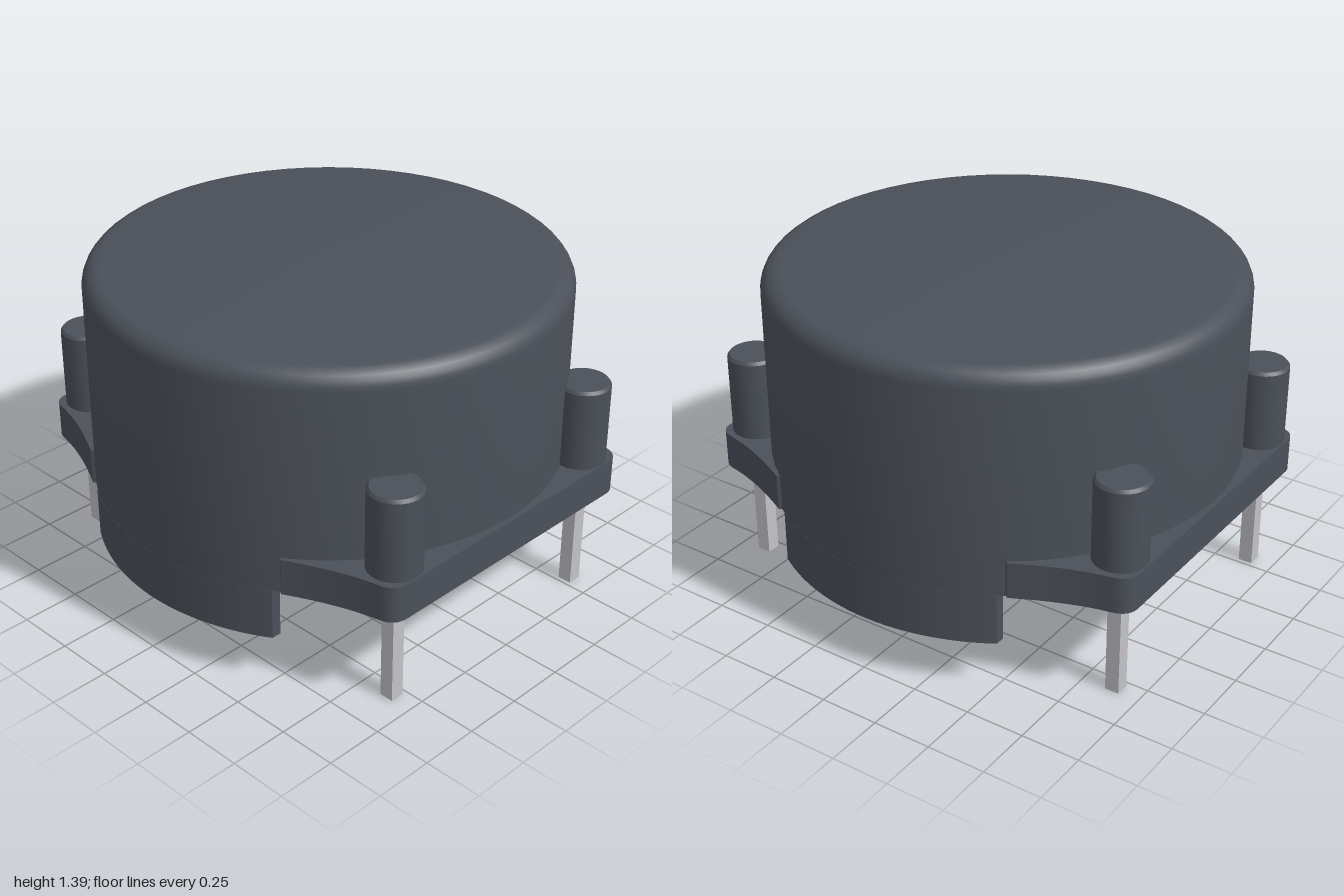
import * as THREE from 'three';
import { toCreasedNormals } from 'three/addons/utils/BufferGeometryUtils.js';

const OUTER = 0.98, INNER = 0.945;      // cup wall radii
const RIM = 0.445, TOP = 1.39;          // cup heights
const POST_X = 0.55, POST_Z = 0.885;

// Extrude a plan outline (x, z) between two heights
function slab(shape, y0, y1) {
  const g = new THREE.ExtrudeGeometry(shape, { depth: y1 - y0, bevelEnabled: false, curveSegments: 64 });
  g.rotateX(Math.PI / 2).translate(0, y1, 0);
  return toCreasedNormals(g, 0.5);
}

export function createModel() {
  const model = new THREE.Group();
  const plastic = new THREE.MeshStandardMaterial({ color: 0x4b5059 });
  plastic.name = 'dark grey plastic';
  const metal = new THREE.MeshStandardMaterial({ color: 0xc3c3c8 });
  metal.name = 'tinned metal';

  const add = (name, geometry, material) => {
    const mesh = new THREE.Mesh(geometry, material);
    mesh.name = name;
    model.add(mesh);
    return mesh;
  };

  // Hollow cup, open below, with a rounded top edge
  const fillet = 0.08;
  const profile = [[0, 1.1], [INNER, 1.1], [INNER, RIM], [OUTER, RIM]].map(p => new THREE.Vector2(...p));
  for (let i = 0; i <= 6; i++) {
    const a = (i / 6) * Math.PI / 2;
    profile.push(new THREE.Vector2(OUTER - fillet + fillet * Math.cos(a), TOP - fillet + fillet * Math.sin(a)));
  }
  profile.push(new THREE.Vector2(0, TOP));
  add('cup', toCreasedNormals(new THREE.LatheGeometry(profile, 64), 0.5), plastic);

  // Side skirts reaching below the rim, with straight cut ends
  const a = Math.asin(0.52 / OUTER), b = Math.asin(0.52 / INNER);
  for (const [name, turn] of [['leftSkirt', 0], ['rightSkirt', Math.PI]]) {
    const s = new THREE.Shape();
    s.absarc(0, 0, OUTER, turn - a, turn + a, false);
    s.absarc(0, 0, INNER, turn + b, turn - b, true);
    s.closePath();
    add(name, slab(s, 0.225, RIM), plastic);
  }

  // Base flange with four flared, rounded corners
  const f = new THREE.Shape();
  const arc = 0.59;
  f.moveTo(-0.6, 1);
  f.lineTo(0.6, 1);
  f.quadraticCurveTo(0.665, 1, 0.68, 0.93);
  f.quadraticCurveTo(0.71, 0.77, 0.82, 0.56);
  f.absarc(0, 0, 0.97, arc, -arc, true);
  f.lineTo(0.82, -0.56);
  f.quadraticCurveTo(0.71, -0.77, 0.68, -0.93);
  f.quadraticCurveTo(0.665, -1, 0.6, -1);
  f.lineTo(-0.6, -1);
  f.quadraticCurveTo(-0.665, -1, -0.68, -0.93);
  f.quadraticCurveTo(-0.71, -0.77, -0.82, -0.56);
  f.absarc(0, 0, 0.97, Math.PI + arc, Math.PI - arc, true);
  f.lineTo(-0.82, 0.56);
  f.quadraticCurveTo(-0.71, 0.77, -0.68, 0.93);
  f.quadraticCurveTo(-0.665, 1, -0.6, 1);
  const hole = new THREE.Path();
  hole.absarc(0, 0, 0.95, 0, Math.PI * 2, true);
  f.holes.push(hole);
  add('flange', slab(f, RIM, 0.6), plastic);

  // Corner posts and square pins
  const postProfile = [[0, 0.59], [0.11, 0.59], [0.11, 0.94], [0.1, 0.953], [0, 0.953]];
  for (const [end, sz] of [['front', 1], ['back', -1]]) {
    for (const [side, sx] of [['Left', 1], ['Right', -1]]) {
      const post = new THREE.LatheGeometry(postProfile.map(p => new THREE.Vector2(...p)), 32);
      post.translate(sx * POST_X, 0, sz * POST_Z);
      // Keep the post from poking through the inside of the cup wall
      const pos = post.attributes.position;
      for (let i = 0; i < pos.count; i++) {
        const x = pos.getX(i), z = pos.getZ(i), k = Math.max(1, 0.96 / Math.hypot(x, z));
        pos.setXYZ(i, x * k, pos.getY(i), z * k);
      }
      add(end + side + 'Post', toCreasedNormals(post, 0.5), plastic);

      const pin = add(end + side + 'Pin', new THREE.BoxGeometry(0.06, 0.455, 0.06), metal);
      pin.position.set(sx * POST_X, 0.2275, sz * POST_Z);
    }
  }
  return model;
}
